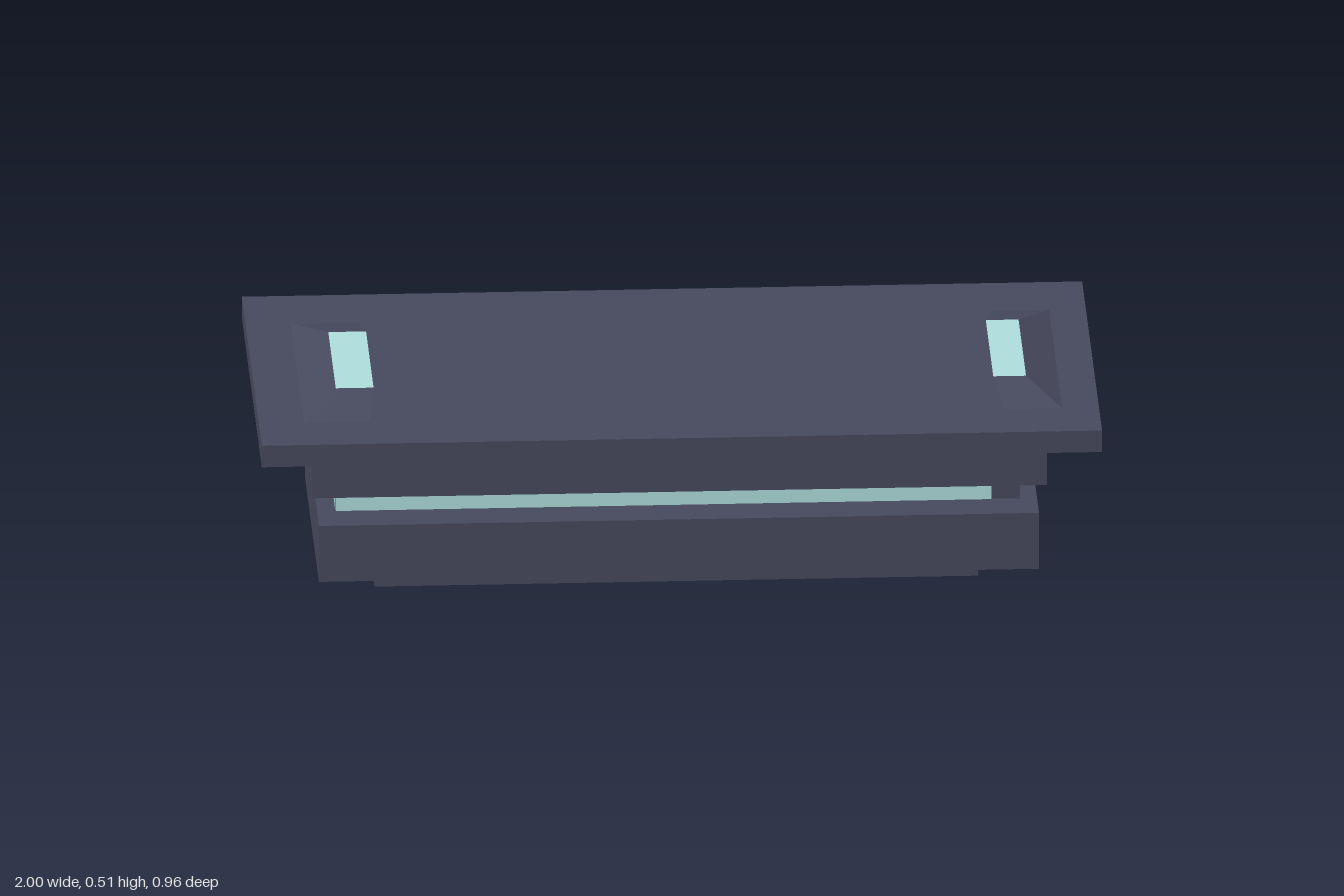
import * as THREE from 'three';

const dark = new THREE.MeshStandardMaterial({ color: 0x474a5e, flatShading: true });
const glow = new THREE.MeshStandardMaterial({ color: 0xb0dede, flatShading: true });

// Flat-sided loft through rectangles [x0, x1, z0, z1, y], listed bottom to top
function rectLoft(rects, { bottom = true, top = true } = {}) {
  const pos = [];
  const quad = (a, b, c, d) => pos.push(...a, ...b, ...c, ...a, ...c, ...d);
  const rings = rects.map(([x0, x1, z0, z1, y]) => [[x0, y, z1], [x1, y, z1], [x1, y, z0], [x0, y, z0]]);
  for (let i = 0; i < rings.length - 1; i++) {
    const lo = rings[i], hi = rings[i + 1];
    for (let k = 0; k < 4; k++) {
      const n = (k + 1) % 4;
      quad(lo[k], lo[n], hi[n], hi[k]);
    }
  }
  if (bottom) quad(...[...rings[0]].reverse());
  if (top) quad(...rings[rings.length - 1]);
  const g = new THREE.BufferGeometry();
  g.setAttribute('position', new THREE.Float32BufferAttribute(pos, 3));
  g.computeVertexNormals();
  return g;
}

// Centred rectangle from half width, half depth and height
const mid = (hx, hz, y) => [-hx, hx, -hz, hz, y];

export function createModel() {
  const model = new THREE.Group();
  model.name = 'slabTable';
  const add = (name, geometry, material, parent = model) => {
    const m = new THREE.Mesh(geometry, material);
    m.name = name;
    parent.add(m);
    return m;
  };

  // Stepped body, from the floor up
  add('base', rectLoft([
    mid(0.718, 0.2, 0), mid(0.718, 0.2, 0.041), mid(0.857, 0.339, 0.07), mid(0.857, 0.339, 0.213),
  ]), dark);
  add('neck', rectLoft([
    mid(0.715, 0.22, 0.213), mid(0.814, 0.298, 0.235), mid(0.814, 0.298, 0.281),
  ]), dark);
  add('collar', rectLoft([
    mid(0.814, 0.298, 0.281), mid(0.875, 0.359, 0.292), mid(0.875, 0.359, 0.393),
  ]), dark);
  add('top', rectLoft([
    mid(0.875, 0.359, 0.393), mid(1, 0.48, 0.422), mid(1, 0.48, 0.477),
  ]), dark);

  // Light strips round the neck: [name, width, x, z, turn about y]
  const strips = new THREE.Group();
  strips.name = 'lightStrips';
  model.add(strips);
  for (const [name, width, x, z, turn] of [
    ['frontStrip', 1.56, -0.034, 0.3, 0],
    ['rightSideStrip', 0.488, 0.816, 0.055, Math.PI / 2],
    ['backStrip', 1.628, 0, -0.3, Math.PI],
    ['leftSideStrip', 0.596, -0.816, 0, -Math.PI / 2],
  ]) {
    const strip = add(name, new THREE.PlaneGeometry(width, 0.046), glow, strips);
    strip.position.set(x, 0.258, z);
    strip.rotation.y = turn;
  }

  // Raised lamps at both ends, undercut on the inner side
  for (const [name, base, crown] of [
    ['rightEndLamp', [-0.895, -0.735, -0.305, 0.337, 0.476], [-0.81, -0.72, -0.165, 0.197, 0.508]],
    ['leftEndLamp', [0.775, 0.915, -0.305, 0.337, 0.476], [0.755, 0.833, -0.165, 0.197, 0.508]],
  ]) {
    const lamp = new THREE.Group();
    lamp.name = name;
    model.add(lamp);
    add('lampHousing', rectLoft([base, crown], { top: false }), dark, lamp);
    add('lampPanel', rectLoft([crown], { bottom: false }), glow, lamp);
  }

  return model;
}
